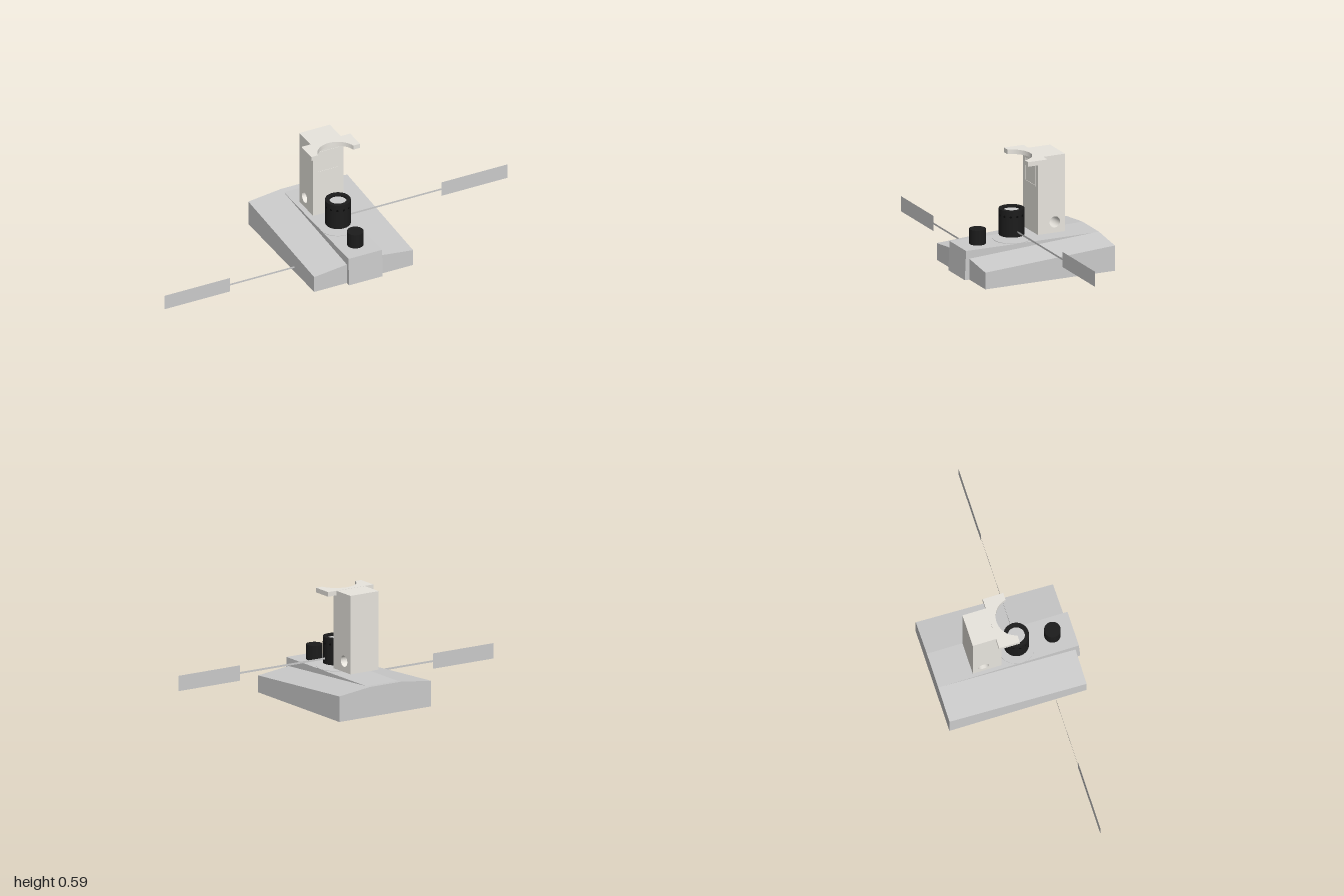
import * as THREE from 'three';

const CX = 0.04; // shared centre line of the instrument

export function createModel() {
  const model = new THREE.Group();
  const grey = new THREE.MeshStandardMaterial({ color: 0xcccccc, side: THREE.DoubleSide });
  const cream = new THREE.MeshStandardMaterial({ color: 0xe8e5de });
  const black = new THREE.MeshStandardMaterial({ color: 0x1c1c1c });
  const hollow = new THREE.MeshStandardMaterial({ color: 0x080808 });

  const add = (name, geometry, material, x = 0, y = 0, z = 0) => {
    const mesh = new THREE.Mesh(geometry, material);
    mesh.name = name;
    mesh.position.set(x, y, z);
    model.add(mesh);
    return mesh;
  };
  const outline = (points) => new THREE.Shape(points.map(([x, y]) => new THREE.Vector2(x, y)));
  const extrude = (shape, depth) =>
    new THREE.ExtrudeGeometry(shape, { depth, bevelEnabled: false, curveSegments: 32 });

  // Wedge base: roof-like section whose top rises towards the back
  const section = outline([[-0.28, 0], [0.28, 0], [0.28, 0.088], [0.095, 0.11], [-0.095, 0.11], [-0.28, 0.088]]);
  const base = extrude(section, 0.725);
  const p = base.attributes.position;
  for (let i = 0; i < p.count; i++) {
    if (p.getY(i) > 0.01) p.setY(i, p.getY(i) + 0.045 * (1 - p.getZ(i) / 0.725));
  }
  base.computeVertexNormals();
  add('base', base, grey, CX, 0, -0.375);

  // Level central block with a slightly raked front, extruded across x
  const block = extrude(outline([[-0.37, 0], [0.375, 0], [0.368, 0.153], [-0.37, 0.153]]), 0.19);
  block.rotateY(-Math.PI / 2);
  add('centralBlock', block, grey, CX + 0.095, 0, 0);

  add('stageDisc', new THREE.CylinderGeometry(0.097, 0.097, 0.003, 48), grey, CX, 0.154, 0.066);

  // Column with a round cross hole, extruded across x
  const side = outline([[-0.19, 0.18], [-0.038, 0.18], [-0.038, 0.588], [-0.19, 0.588]]);
  side.holes.push(new THREE.Path().absarc(-0.133, 0.236, 0.029, 0, Math.PI * 2, true));
  const column = extrude(side, 0.172);
  column.rotateY(-Math.PI / 2);
  add('column', column, cream, CX + 0.086, 0, 0);

  // Thin frame around the panel on the column front
  const frame = outline([[-0.06, -0.06], [0.06, -0.06], [0.06, 0.06], [-0.06, 0.06]]);
  frame.holes.push(outline([[-0.056, -0.056], [-0.056, 0.056], [0.056, 0.056], [0.056, -0.056]]));
  add('panelFrame', extrude(frame, 0.002), cream, CX, 0.49, -0.038);

  // Forked holder at the top with a round cut-out facing forward
  const fork = new THREE.Shape();
  fork.moveTo(-0.138, -0.042);
  fork.lineTo(-0.1, -0.042);
  fork.absarc(0, -0.066, 0.103, Math.PI - 0.235, 0.235, true);
  fork.lineTo(0.138, -0.042);
  fork.lineTo(0.138, 0.067);
  fork.lineTo(-0.138, 0.067);
  const holder = extrude(fork, 0.024);
  holder.rotateX(-Math.PI / 2);
  add('forkedHolder', holder, cream, CX, 0.565, 0);

  // Hollow barrel with lens and a ring of small holes
  const wall = [[0.044, 0.176], [0.065, 0.176], [0.065, 0.314], [0.044, 0.314], [0.044, 0.176]];
  const barrel = new THREE.Group();
  barrel.name = 'barrel';
  barrel.position.set(CX, 0, 0.067);
  model.add(barrel);
  // Each straight run is lathed separately so the rims stay sharp
  for (let i = 0; i < 4; i++) {
    const run = [wall[i], wall[i + 1]].map(([r, y]) => new THREE.Vector2(r, y));
    const mesh = new THREE.Mesh(new THREE.LatheGeometry(run, 48), black);
    mesh.name = 'barrelWall';
    barrel.add(mesh);
  }
  const lens = new THREE.Mesh(new THREE.CylinderGeometry(0.044, 0.044, 0.12, 48), grey);
  lens.name = 'lens';
  lens.position.y = 0.242;
  barrel.add(lens);
  for (let i = 0; i < 12; i++) {
    const a = (i * Math.PI) / 6;
    const hole = new THREE.Mesh(new THREE.CircleGeometry(0.006, 16), hollow);
    hole.name = 'barrelHole';
    hole.position.set(Math.sin(a) * 0.0654, 0.283, Math.cos(a) * 0.0654);
    hole.rotation.y = a;
    barrel.add(hole);
  }

  add('knob', new THREE.CylinderGeometry(0.042, 0.042, 0.078, 40), black, CX, 0.192, 0.258);

  // Flat tags on thin pointer strips, one on each side
  const tag = (name, x0, x1, stripEnd, y, z) => {
    add(name, new THREE.PlaneGeometry(x1 - x0, 0.08), grey, (x0 + x1) / 2, y, z);
    const start = stripEnd > x1 ? x1 : x0;
    add(name + 'Pointer', new THREE.PlaneGeometry(Math.abs(stripEnd - start), 0.01), grey,
      (start + stripEnd) / 2, y, z);
  };
  tag('rightTag', -1, -0.63, -0.265, 0.06, 0.18);
  tag('leftTag', 0.625, 1, 0.1, 0.205, 0.067);

  return model;
}
